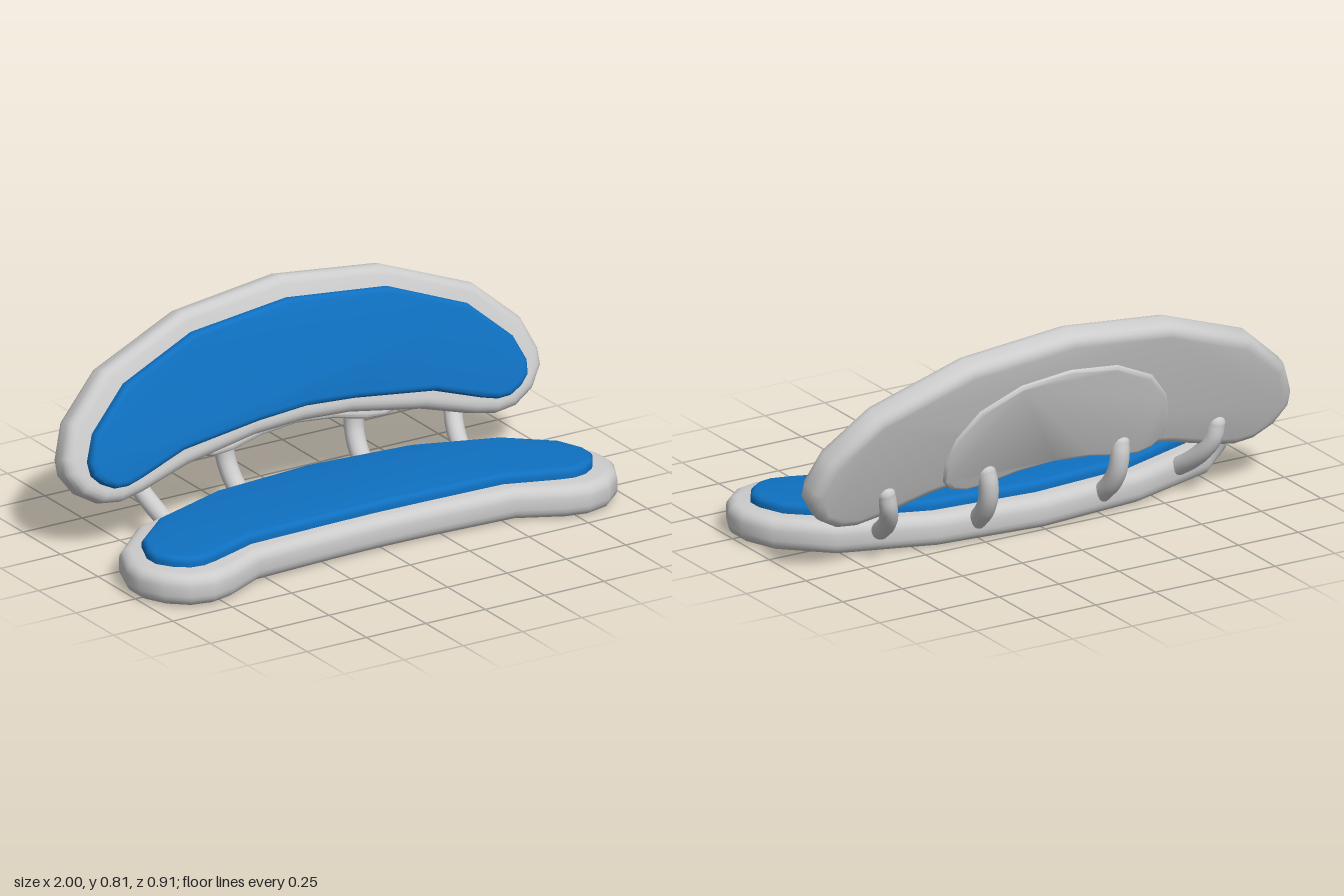
import * as THREE from 'three';
import { toCreasedNormals } from 'three/addons/utils/BufferGeometryUtils.js';

const shellGrey = new THREE.MeshStandardMaterial({ color: 0xcccccc });
shellGrey.name = 'shell grey';
const cushionBlue = new THREE.MeshStandardMaterial({ color: 0x0f70c0 });
cushionBlue.name = 'cushion blue';

// Half outlines as [x, v], from the middle of the long arc round the tip to the inner arc.
const seatShell = [[0, 0.257], [0.42, 0.217], [0.78, 0.1], [0.95, -0.06], [1, -0.19], [1, -0.28], [0.955, -0.37],
  [0.88, -0.435], [0.79, -0.455], [0.7, -0.435], [0.54, -0.355], [0.2, -0.337], [0, -0.333]];
const seatPad = [[0, 0.185], [0.41, 0.15], [0.72, 0.04], [0.88, -0.1], [0.92, -0.2], [0.92, -0.26], [0.88, -0.32],
  [0.83, -0.354], [0.78, -0.362], [0.72, -0.347], [0.53, -0.28], [0.2, -0.27], [0, -0.266]];
const backShell = [[0, 0.342], [0.42, 0.295], [0.78, 0.153], [0.95, -0.005], [1, -0.13], [1, -0.19], [0.95, -0.267],
  [0.87, -0.315], [0.79, -0.325], [0.7, -0.308], [0.5, -0.25], [0.2, -0.2], [0, -0.19]];
const backPad = [[0, 0.257], [0.41, 0.215], [0.72, 0.09], [0.88, -0.06], [0.92, -0.155], [0.915, -0.207], [0.88, -0.243],
  [0.83, -0.268], [0.78, -0.27], [0.72, -0.254], [0.53, -0.19], [0.2, -0.149], [0, -0.136]];
const rearPlate = [[0, 0.209], [0.2, 0.185], [0.36, 0.105], [0.44, 0], [0.47, -0.1], [0.46, -0.19], [0.42, -0.23],
  [0.36, -0.247], [0.28, -0.242], [0.15, -0.213], [0, -0.2]];

// Mirrors a half outline and extrudes it from z0 to z1 with rounded rims.
function slab(name, half, z0, z1, round, material) {
  const left = half.slice(1, -1).reverse().map(([x, v]) => [-x, v]);
  const shape = new THREE.Shape([...half, ...left].reverse().map(([x, v]) => new THREE.Vector2(x, v)));
  const geometry = new THREE.ExtrudeGeometry(shape, {
    depth: z1 - z0 - 2 * round,
    bevelThickness: round, bevelSize: round, bevelOffset: -round, bevelSegments: 4,
  });
  geometry.translate(0, 0, z0 + round);
  const mesh = new THREE.Mesh(toCreasedNormals(geometry, 0.75), material);
  mesh.name = name;
  return mesh;
}

// Bent round strut with domed ends.
function strut(name, points, radius) {
  const group = new THREE.Group();
  group.name = name;
  const path = new THREE.CatmullRomCurve3(points.map(p => new THREE.Vector3(...p)));
  group.add(new THREE.Mesh(new THREE.TubeGeometry(path, 20, radius, 14), shellGrey));
  for (const t of [0, 1]) {
    const cap = new THREE.Mesh(new THREE.SphereGeometry(radius, 14, 10), shellGrey);
    cap.position.copy(path.getPoint(t));
    group.add(cap);
  }
  return group;
}

export function createModel() {
  const model = new THREE.Group();
  model.name = 'curvedBench';

  // Seat lies flat
  const seat = new THREE.Group();
  seat.name = 'seat';
  seat.add(slab('seatShell', seatShell, 0, 0.12, 0.042, shellGrey));
  seat.add(slab('seatCushion', seatPad, 0.09, 0.157, 0.022, cushionBlue));
  seat.rotation.x = -Math.PI / 2;

  // Backrest leans backward
  const back = new THREE.Group();
  back.name = 'backrest';
  back.add(slab('backShell', backShell, -0.115, 0, 0.04, shellGrey));
  back.add(slab('backCushion', backPad, -0.03, 0.037, 0.022, cushionBlue));
  back.add(slab('rearPlate', rearPlate, -0.128, -0.06, 0.018, shellGrey));
  back.rotation.x = -THREE.MathUtils.degToRad(18.3);
  back.position.set(0, 0.5, -0.25);
  model.add(seat, back);

  // Four struts join seat and backrest
  for (const [side, s] of [['left', 1], ['right', -1]]) {
    model.add(strut(side + 'InnerStrut', [[s * 0.26, 0.075, -0.21], [s * 0.265, 0.13, -0.268],
      [s * 0.27, 0.19, -0.302], [s * 0.275, 0.25, -0.31], [s * 0.28, 0.29, -0.302]], 0.036));
    model.add(strut(side + 'OuterStrut', [[s * 0.625, 0.085, -0.145], [s * 0.64, 0.125, -0.205],
      [s * 0.66, 0.175, -0.258], [s * 0.68, 0.23, -0.288], [s * 0.69, 0.28, -0.29]], 0.034));
  }
  return model;
}
